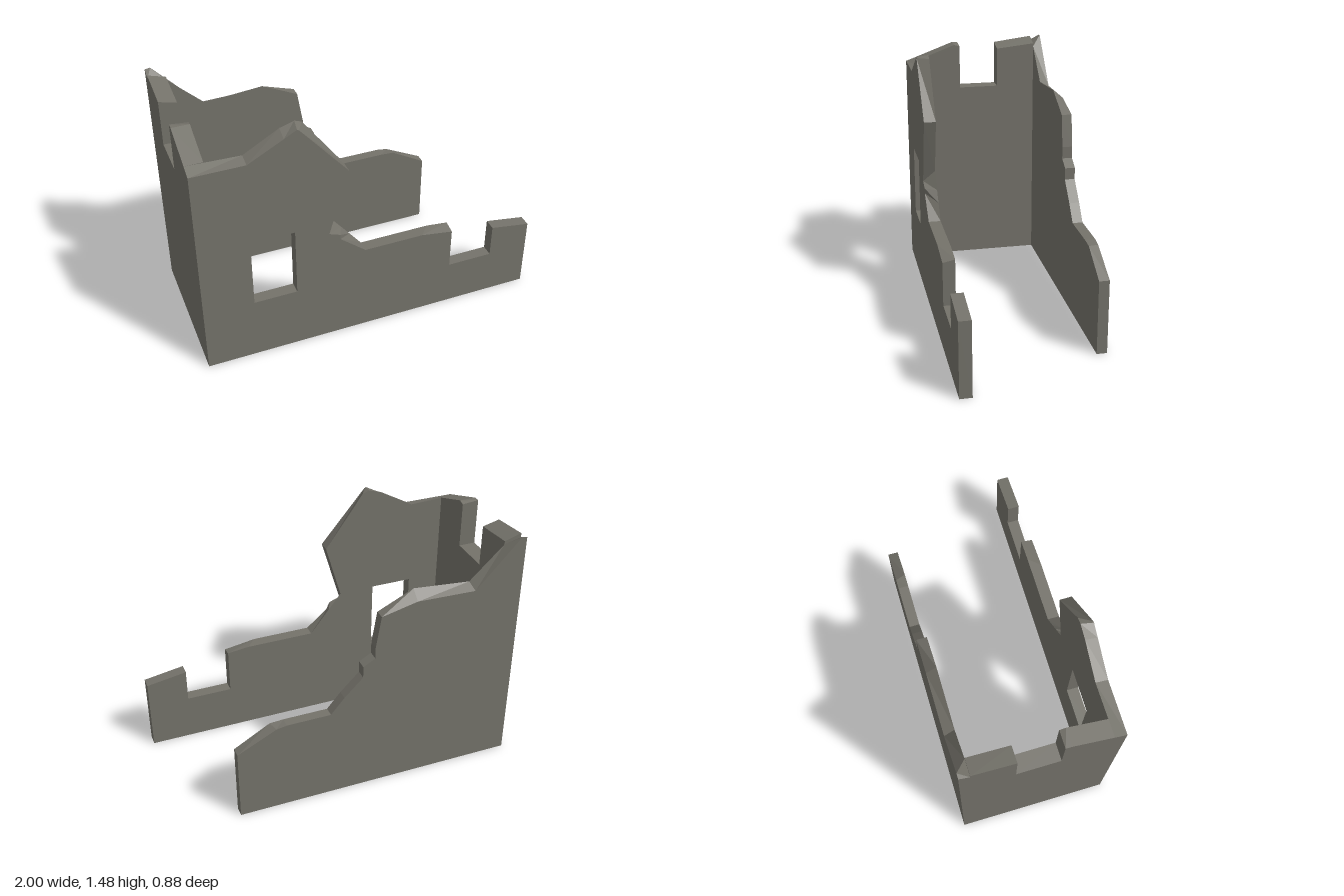
import * as THREE from 'three';

// Slab between two outlines: rows are [u, v] or [u, v, u2, v2] when the far edge differs.
// Outlines run counter-clockwise seen from the near side; holes run clockwise.
function slabGeometry(outline, holes, place) {
  const rings = [outline, ...holes];
  const near = rings.map((r) => r.map(([u, v]) => new THREE.Vector2(u, v)));
  const far = rings.map((r) => r.map(([u, v, u2 = u, v2 = v]) => new THREE.Vector2(u2, v2)));
  const pos = [];
  const tri = (...corners) => corners.forEach(([p, side]) => pos.push(...place(p.x, p.y, side)));

  // the two broad faces
  [near, far].forEach((set, side) => {
    const all = set.flat();
    for (const f of THREE.ShapeUtils.triangulateShape(set[0], set.slice(1))) {
      let [a, b, c] = f.map((i) => all[i]);
      const ccw = (b.x - a.x) * (c.y - a.y) - (b.y - a.y) * (c.x - a.x) > 0;
      if (ccw !== (side === 0)) [b, c] = [c, b];
      tri([a, side], [b, side], [c, side]);
    }
  });

  // the broken edges and window reveals
  near.forEach((ring, r) => ring.forEach((p, i) => {
    const j = (i + 1) % ring.length;
    const q = ring[j], pf = far[r][i], qf = far[r][j];
    tri([pf, 1], [qf, 1], [q, 0]);
    tri([pf, 1], [q, 0], [p, 0]);
  }));

  const geometry = new THREE.BufferGeometry();
  geometry.setAttribute('position', new THREE.Float32BufferAttribute(pos, 3));
  geometry.computeVertexNormals();
  return geometry;
}

export function createModel() {
  const group = new THREE.Group();
  group.name = 'ruinedBuilding';
  const stone = new THREE.MeshStandardMaterial({ color: 0x74726a });
  stone.name = 'weatheredStone';

  const addWall = (name, outline, holes, place) => {
    const mesh = new THREE.Mesh(slabGeometry(outline, holes, place), stone);
    mesh.name = name;
    group.add(mesh);
  };
  const acrossZ = (zNear, zFar) => (u, v, side) => [u, v, side ? zFar : zNear];
  const acrossX = (xNear, xFar) => (u, v, side) => [side ? xFar : xNear, v, u];

  // Front wall: near side is the outside
  addWall('frontWall', [
    [-1, 0], [1, 0], [1, 0.44], [0.76, 0.48],
    [0.76, 0.28], [0.49, 0.28], [0.49, 0.535, 0.49, 0.55], [0.3, 0.565, 0.36, 0.565],
    [-0.05, 0.565], [-0.2, 0.69, -0.12, 0.653], [-0.2, 0.72, -0.17, 0.716],
    [-0.265, 0.745, -0.245, 0.81], [-0.15, 1.14],
    [-0.42, 1.46, -0.38, 1.46], [-0.43, 1.465, -0.42, 1.475], [-0.5, 1.427, -0.5, 1.45],
    [-0.7, 1.32, -0.7, 1.335], [-1, 1.32, -1, 1.345],
  ], [
    [[-0.71, 0.39], [-0.71, 0.815], [-0.46, 0.815], [-0.46, 0.39]],
  ], acrossZ(0.44, 0.37));

  // Back wall: near side is the inside
  addWall('backWall', [
    [-1, 0], [0.69, 0], [0.69, 0.44], [0.48, 0.56, 0.46, 0.555], [0.4, 0.565],
    [0.14, 0.565], [0.06, 0.66], [-0.05, 0.77], [-0.05, 0.84], [-0.12, 0.88],
    [-0.12, 0.95], [-0.15, 1.14], [-0.36, 1.24, -0.36, 1.19],
    [-0.7, 1.21, -0.71, 1.18], [-0.9, 1.4, -0.97, 1.46], [-1, 1.425, -1, 1.455],
  ], [], acrossZ(-0.38, -0.44));

  // End wall joining the two, with a notch left by a broken window
  addWall('endWall', [
    [-0.38, 0], [0.37, 0], [0.37, 1.345], [0.14, 1.43], [0.105, 1.43, 0.105, 1.42],
    [0.105, 1.15], [-0.14, 1.15], [-0.14, 1.42, -0.14, 1.395], [-0.38, 1.45, -0.38, 1.42],
  ], [], acrossX(-1, -0.9));

  return group;
}
